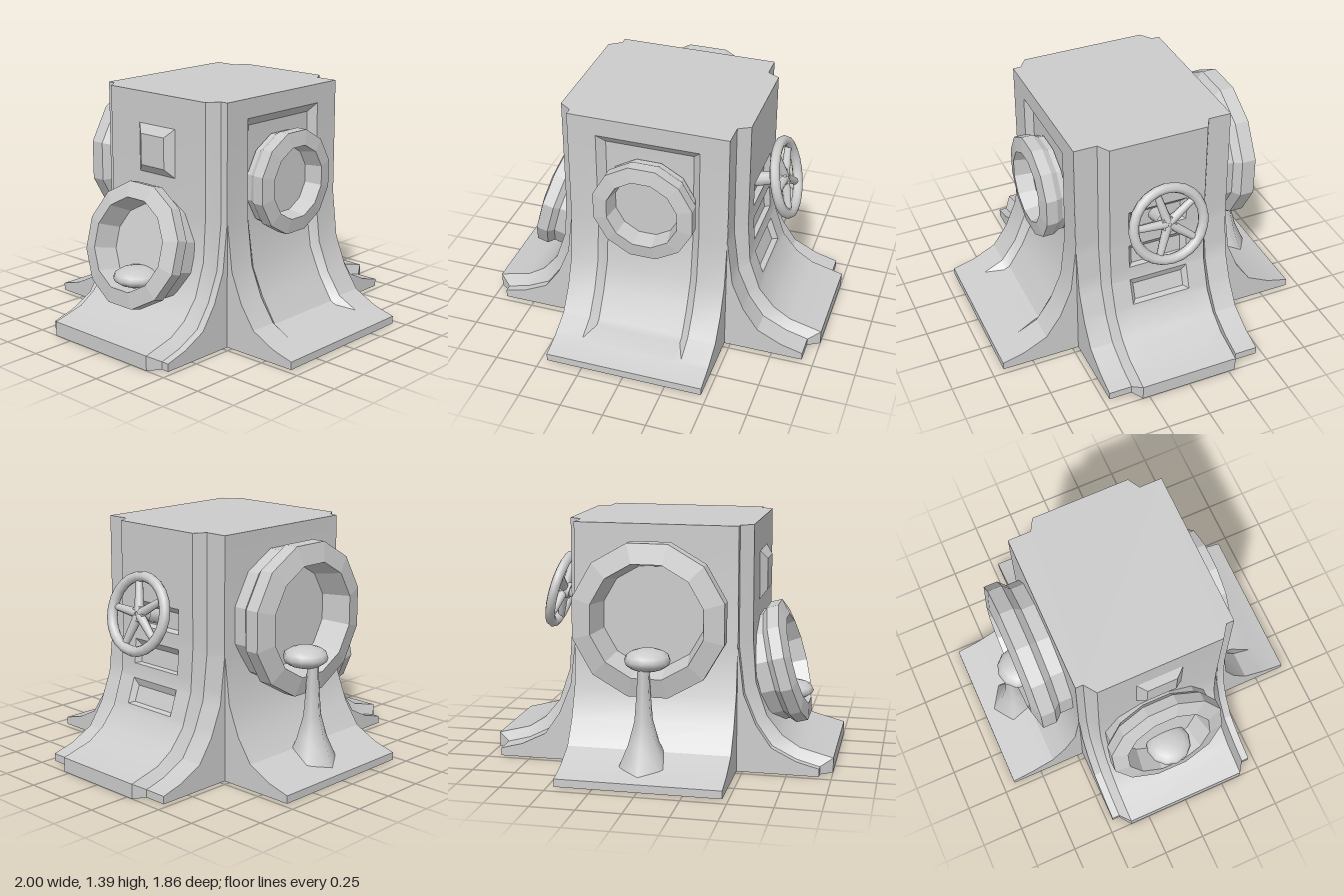
import * as THREE from 'three';
import { toCreasedNormals } from 'three/addons/utils/BufferGeometryUtils.js';

const HALF = 0.465, TOP = 1.39;
// flared wall sections [outward, y]: bare wall and the raised plate over it
const WALL = [[HALF, TOP], [0.467, 0.72], [0.5, 0.45], [0.57, 0.28], [0.66, 0.15], [0.8, 0.08], [0.93, 0.045], [0.93, 0]];
const PLATE = [[0.535, TOP], [0.537, 0.75], [0.555, 0.5], [0.62, 0.31], [0.71, 0.2], [0.81, 0.135], [1, 0.085], [1, 0]];

const smooth = new THREE.MeshStandardMaterial({ color: 0xcccccc, side: THREE.DoubleSide });
const faceted = new THREE.MeshStandardMaterial({ color: 0xcccccc, side: THREE.DoubleSide, flatShading: true });

function add(parent, name, geometry, material = smooth) {
  const mesh = new THREE.Mesh(geometry, material);
  mesh.name = name;
  parent.add(mesh);
  return mesh;
}

// point on a section at a fractional index
function sample(section, t) {
  const i = Math.min(Math.floor(t), section.length - 2), f = t - i;
  return [0, 1].map(k => THREE.MathUtils.lerp(section[i][k], section[i + 1][k], f));
}

// fractional index where a section passes height y
function indexAt(section, y) {
  const i = section.findIndex((p, k) => section[k + 1][1] <= y);
  return i + (section[i][1] - y) / (section[i][1] - section[i + 1][1]);
}

// flared wall facing +z; plate = [foot, face] half-widths; panels = bevelled recesses
function wallGeometry(plate, panels, bevel) {
  const section = plate ? PLATE : WALL;
  let cols = [HALF], rows = WALL.map((p, i) => i);
  if (plate) cols.push(...plate);
  if (panels.length) cols.push(panels[0].w, panels[0].w - bevel);
  for (const { top, bottom } of panels)
    rows.push(...[top, top - bevel, bottom + bevel, bottom].map(y => indexAt(section, y)));
  rows.sort((a, b) => a - b);
  cols = [...cols.map(c => -c), ...cols.reverse()];

  const lift = (u, t) => {
    let l = plate && Math.abs(u) <= plate[1] + 1e-6 ? 1 : 0;
    const y = sample(section, t)[1];
    for (const p of panels)
      if (Math.abs(u) < p.w - bevel + 1e-4 && y < p.top - bevel + 1e-4 && y > p.bottom + bevel - 1e-4) l -= p.depth;
    return l;
  };
  const pos = [], idx = [], lifts = [];
  for (const u of cols) for (const t of rows) {
    const l = lift(u, t), a = sample(WALL, t), b = sample(PLATE, t);
    lifts.push(l);
    pos.push(u, THREE.MathUtils.lerp(a[1], b[1], l), THREE.MathUtils.lerp(a[0], b[0], l));
  }
  const n = rows.length;
  for (let i = 0; i < cols.length - 1; i++) for (let j = 0; j < n - 1; j++) {
    const a = i * n + j, b = a + 1, d = a + n, c = d + 1;
    if (lifts[a] !== lifts[c]) idx.push(a, b, c, a, c, d);
    else idx.push(a, b, d, b, c, d);
  }
  const g = new THREE.BufferGeometry();
  g.setAttribute('position', new THREE.Float32BufferAttribute(pos, 3));
  g.setIndex(idx);
  return toCreasedNormals(g, 0.5);
}

function makeWall(name, angle, plate, panels = [], bevel = 0.03) {
  const wall = new THREE.Group();
  wall.name = name;
  add(wall, name + 'Face', wallGeometry(plate, panels, bevel));
  // closed flanks of the flare
  const flank = new THREE.Shape([...WALL, [HALF, 0]].map(p => new THREE.Vector2(...p)));
  for (const s of [-1, 1]) {
    const m = add(wall, name + 'Flank', new THREE.ShapeGeometry(flank));
    m.rotation.y = -Math.PI / 2;
    m.position.x = s * HALF;
  }
  wall.rotation.y = angle;
  return wall;
}

// twelve-sided porthole ring, axis +z; profile holds [apothem, height]
function makePorthole(name, profile, scale = 1) {
  const k = scale / Math.cos(Math.PI / 12);
  const pts = profile.map(([r, h]) => new THREE.Vector2(r * k, h * scale));
  const g = new THREE.LatheGeometry(pts, 12, Math.PI / 12).rotateX(Math.PI / 2);
  const group = new THREE.Group();
  add(group, name, g, faceted);
  return group;
}

function makeSeat(x, y, z, r, h) {
  const g = new THREE.SphereGeometry(1, 12, 8).scale(r, h, r).translate(x, y, z);
  return g;
}

function makeHandwheel() {
  const wheel = new THREE.Group();
  wheel.name = 'handwheel';
  add(wheel, 'wheelRim', new THREE.TorusGeometry(0.21, 0.03, 8, 24));
  add(wheel, 'wheelHub', new THREE.CylinderGeometry(0.045, 0.05, 0.06, 12).rotateX(Math.PI / 2).translate(0, 0, -0.02));
  add(wheel, 'wheelShaft', new THREE.CylinderGeometry(0.033, 0.045, 0.19, 10).rotateX(Math.PI / 2).translate(0, 0, -0.1));
  for (let i = 0; i < 5; i++) {
    const spoke = add(wheel, 'wheelSpoke', new THREE.CylinderGeometry(0.02, 0.028, 0.2, 8).translate(0, 0.11, 0));
    spoke.rotation.z = THREE.MathUtils.degToRad(15 + i * 72);
    spoke.position.z = -0.01;
  }
  wheel.position.set(0.677, 0.92, 0);
  wheel.rotation.set(0, Math.PI / 2, 0.26, 'ZYX');
  return wheel;
}

export function createModel() {
  const model = new THREE.Group();
  model.name = 'flaredTower';
  const RIGHT_PLATE = [0.33, 0.29], LEFT_PLATE = [0.42, 0.37];

  // four flared walls
  const slots = [0.95, 0.72, 0.49].map(top => ({ w: 0.177, top, bottom: top - 0.145, depth: 0.45 }));
  model.add(
    makeWall('frontWall', 0, null, [{ w: 0.3, top: 1.28, bottom: 0.09, depth: 0.55 }], 0.045),
    makeWall('backWall', Math.PI, null),
    makeWall('slottedWall', Math.PI / 2, RIGHT_PLATE, slots, 0.025),
    makeWall('plainWall', -Math.PI / 2, LEFT_PLATE));

  // flat roof following the walls and plates
  const [rf, ri] = RIGHT_PLATE, [lf, li] = LEFT_PLATE, P = PLATE[0][0];
  const roof = new THREE.Shape([
    [HALF, -HALF], [HALF, -rf], [P, -ri], [P, ri], [HALF, rf], [HALF, HALF],
    [-HALF, HALF], [-HALF, lf], [-P, li], [-P, -li], [-HALF, -lf], [-HALF, -HALF],
  ].map(p => new THREE.Vector2(...p)));
  add(model, 'roof', new THREE.ShapeGeometry(roof).rotateX(-Math.PI / 2).translate(0, TOP, 0));

  // portholes
  const front = makePorthole('frontPorthole',
    [[0.27, -0.03], [0.27, 0], [0.29, 0.035], [0.29, 0.1], [0.205, 0.115], [0.187, 0.01], [0, 0.01]]);
  front.position.set(0, 0.885, HALF);
  const deep = [[0.387, -0.02], [0.387, 0.08], [0.425, 0.12], [0.425, 0.203], [0.315, 0.233], [0.28, 0.06], [0, 0.06]];
  const back = makePorthole('backPorthole', deep);
  back.position.set(0, 0.885, -HALF);
  back.rotation.y = Math.PI;
  const side = makePorthole('sidePorthole', deep, 0.82);
  side.position.set(-0.573, 0.515, -0.02);
  side.rotation.set(0, -Math.PI / 2, -0.27, 'ZYX');
  model.add(front, back, side);

  // pedestal and rounded seat at the back porthole
  const stem = [[0.165, 0.04], [0.09, 0.21], [0.053, 0.34], [0.04, 0.5], [0.034, 0.64]].map(p => new THREE.Vector2(...p));
  add(model, 'pedestalStem', new THREE.LatheGeometry(stem, 6).translate(0.012, 0, -0.71));
  add(model, 'pedestalSeat', makeSeat(0.005, 0.667, -0.648, 0.13, 0.064));

  // smaller seat inside the side porthole
  add(model, 'sideSeat', makeSeat(-0.71, 0.375, 0, 0.135, 0.055));
  add(model, 'sideSeatStem', new THREE.CylinderGeometry(0.03, 0.045, 0.13, 8).translate(-0.71, 0.305, 0));

  // bevelled block on the plain wall
  const block = add(model, 'bevelledBlock',
    new THREE.CylinderGeometry(0.09 * Math.SQRT2, 0.14 * Math.SQRT2, 0.04, 4, 1).rotateY(Math.PI / 4), faceted);
  block.rotation.z = Math.PI / 2;
  block.position.set(-0.555, 1.07, 0);

  model.add(makeHandwheel());
  return model;
}
